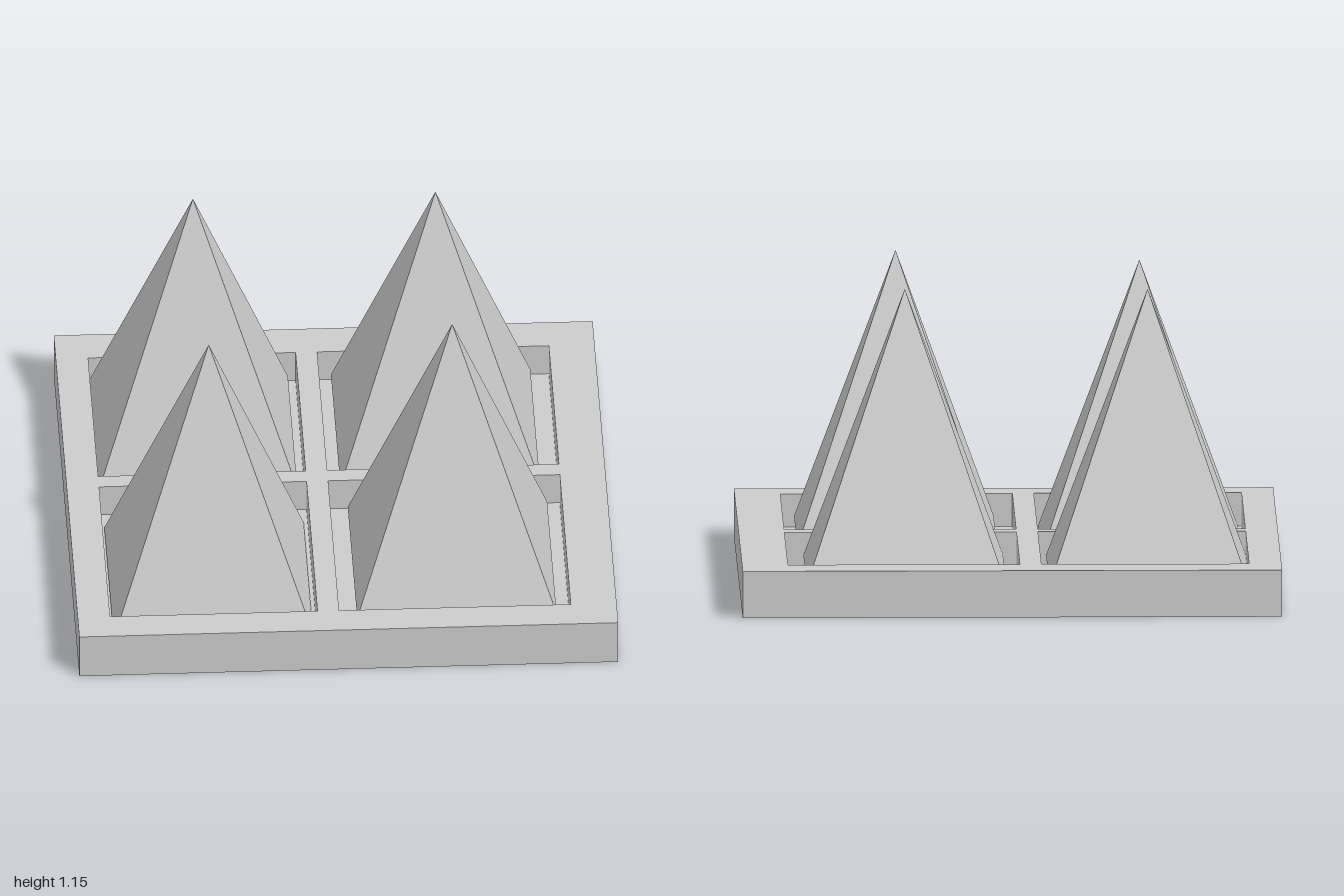
import * as THREE from 'three';

const FLOOR = 0.05, TOP = 0.175;
const PYRAMID_HALF = 0.37, PYRAMID_HEIGHT = 1.055;

const material = new THREE.MeshStandardMaterial({ color: 0xcccccc, flatShading: true });

function addMesh(parent, name, geometry, x = 0, y = 0, z = 0) {
  const mesh = new THREE.Mesh(geometry, material);
  mesh.name = name;
  mesh.position.set(x, y, z);
  parent.add(mesh);
  return mesh;
}

// Rectangle outline in plan; plan y is -z
function rectangle(PathType, x0, x1, z0, z1) {
  return new PathType([
    new THREE.Vector2(x0, -z1), new THREE.Vector2(x1, -z1),
    new THREE.Vector2(x1, -z0), new THREE.Vector2(x0, -z0),
  ]);
}

export function createModel() {
  const model = new THREE.Group();
  model.name = 'pyramidTray';

  // Solid bottom of the tray
  addMesh(model, 'trayFloor', new THREE.BoxGeometry(2, FLOOR, 2), 0, FLOOR / 2, 0);

  // Rim and dividers around four square pockets
  const plan = rectangle(THREE.Shape, -1, 1, -1, 1);
  for (const [x0, x1] of [[-0.88, -0.11], [-0.03, 0.83]])
    for (const [z0, z1] of [[-0.845, -0.06], [0.01, 0.87]])
      plan.holes.push(rectangle(THREE.Path, x0, x1, z0, z1));
  const frame = new THREE.ExtrudeGeometry(plan, { depth: TOP - FLOOR, bevelEnabled: false });
  frame.rotateX(-Math.PI / 2);
  addMesh(model, 'trayFrame', frame, 0, FLOOR, 0);

  // Four equal pyramids set loosely in the pockets
  const pyramid = new THREE.ConeGeometry(PYRAMID_HALF * Math.SQRT2, PYRAMID_HEIGHT, 4);
  pyramid.rotateY(Math.PI / 4);
  const pyramids = [
    ['backRightPyramid', -0.51, 1.145, -0.445],
    ['backLeftPyramid', 0.39, 1.147, -0.445],
    ['frontRightPyramid', -0.495, 1.112, 0.475],
    ['frontLeftPyramid', 0.41, 1.155, 0.445],
  ];
  for (const [name, x, apex, z] of pyramids)
    addMesh(model, name, pyramid, x, apex - PYRAMID_HEIGHT / 2, z);

  return model;
}
